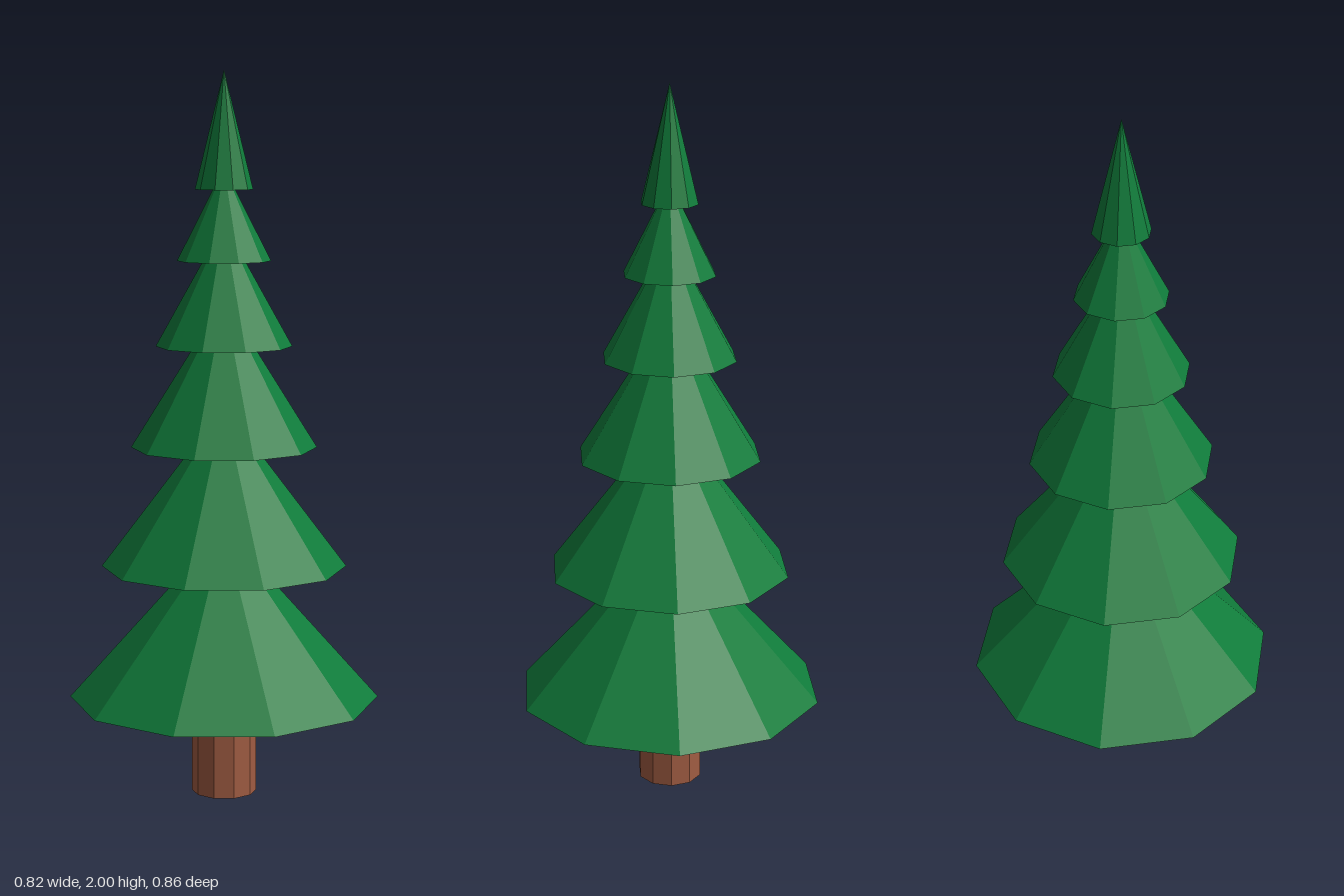
import * as THREE from 'three';

const SIDES = 10;

export function createModel() {
  const tree = new THREE.Group();
  tree.name = 'pineTree';

  const needles = new THREE.MeshStandardMaterial({ color: 0x107c3b, flatShading: true });
  needles.name = 'needle green';
  const bark = new THREE.MeshStandardMaterial({ color: 0xa05c42, flatShading: true });
  bark.name = 'bark brown';

  // Trunk, ending at the underside of the lowest tier
  const trunkHeight = 0.28;
  const trunk = new THREE.Mesh(new THREE.CylinderGeometry(0.09, 0.09, trunkHeight, SIDES), bark);
  trunk.name = 'trunk';
  trunk.position.y = trunkHeight / 2;
  tree.add(trunk);

  // Foliage tiers: radius, base height, tip height
  const tiers = [
    [0.43, 0.27, 0.75],
    [0.339, 0.642, 1.09],
    [0.256, 0.975, 1.385],
    [0.187, 1.254, 1.59],
    [0.128, 1.487, 1.74],
    [0.079, 1.68, 2.0],
  ];
  const foliage = new THREE.Group();
  foliage.name = 'foliage';
  tiers.forEach(([radius, base, tip], i) => {
    const tier = new THREE.Mesh(new THREE.ConeGeometry(radius, tip - base, SIDES), needles);
    tier.name = `foliageTier${i + 1}`;
    tier.position.y = (base + tip) / 2;
    foliage.add(tier);
  });
  tree.add(foliage);

  return tree;
}
